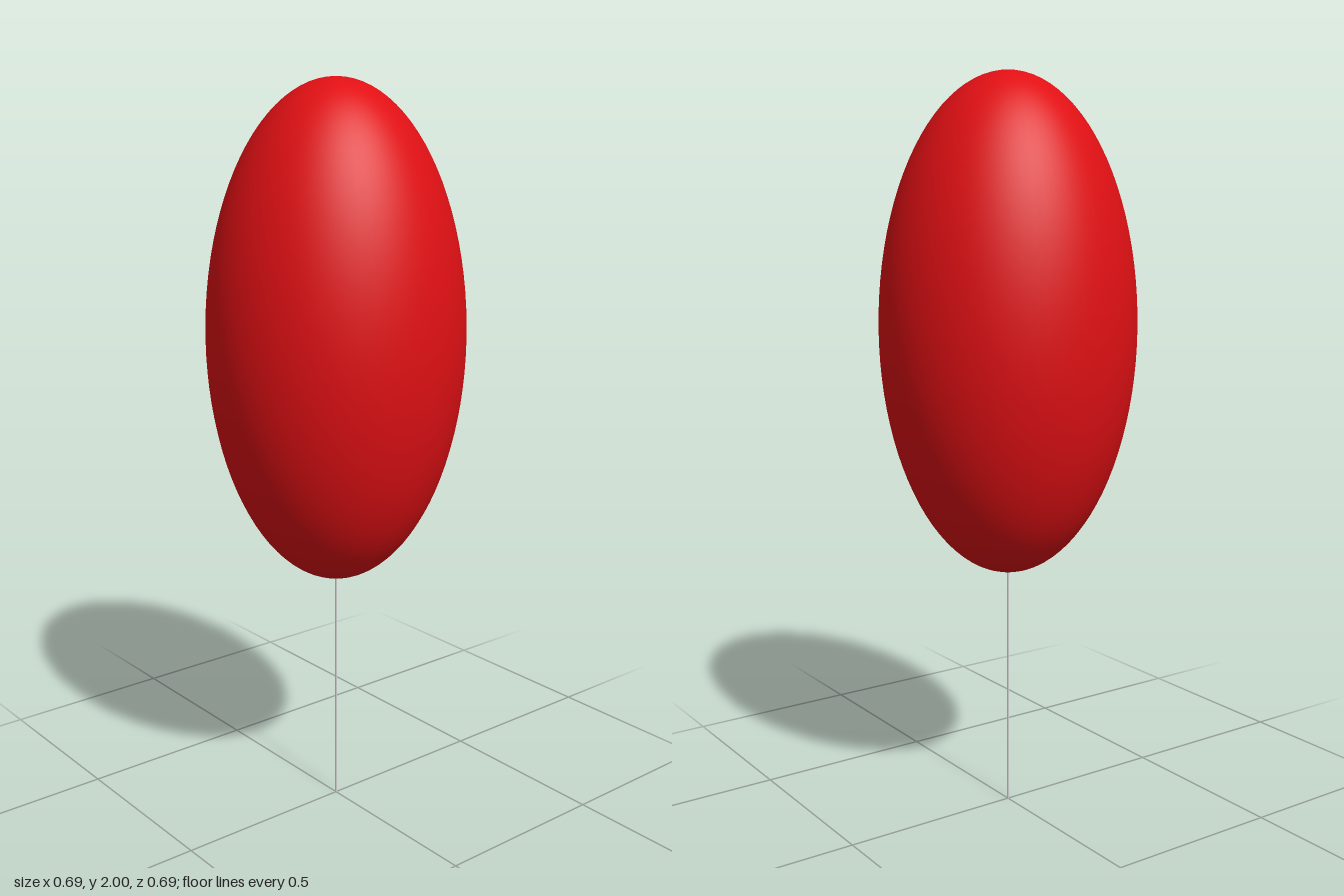
import * as THREE from 'three';

export function createModel() {
  const model = new THREE.Group();
  model.name = 'balloonOnString';

  const topY = 2, bottomY = 0.67, radius = 0.343;
  const halfHeight = (topY - bottomY) / 2;

  // Balloon: a sphere stretched upright
  const balloonGeometry = new THREE.SphereGeometry(1, 64, 48);
  balloonGeometry.scale(radius, halfHeight, radius);
  const balloon = new THREE.Mesh(
    balloonGeometry,
    new THREE.MeshStandardMaterial({ color: 0xe01014 })
  );
  balloon.name = 'balloon';
  balloon.position.y = bottomY + halfHeight;
  model.add(balloon);

  // String: a hair-thin cylinder from the ground to the balloon's underside
  const stringLength = bottomY + 0.005;
  const string = new THREE.Mesh(
    new THREE.CylinderGeometry(0.003, 0.003, stringLength, 12),
    new THREE.MeshStandardMaterial({ color: 0xcccccc })
  );
  string.name = 'string';
  string.position.y = stringLength / 2;
  model.add(string);

  return model;
}
